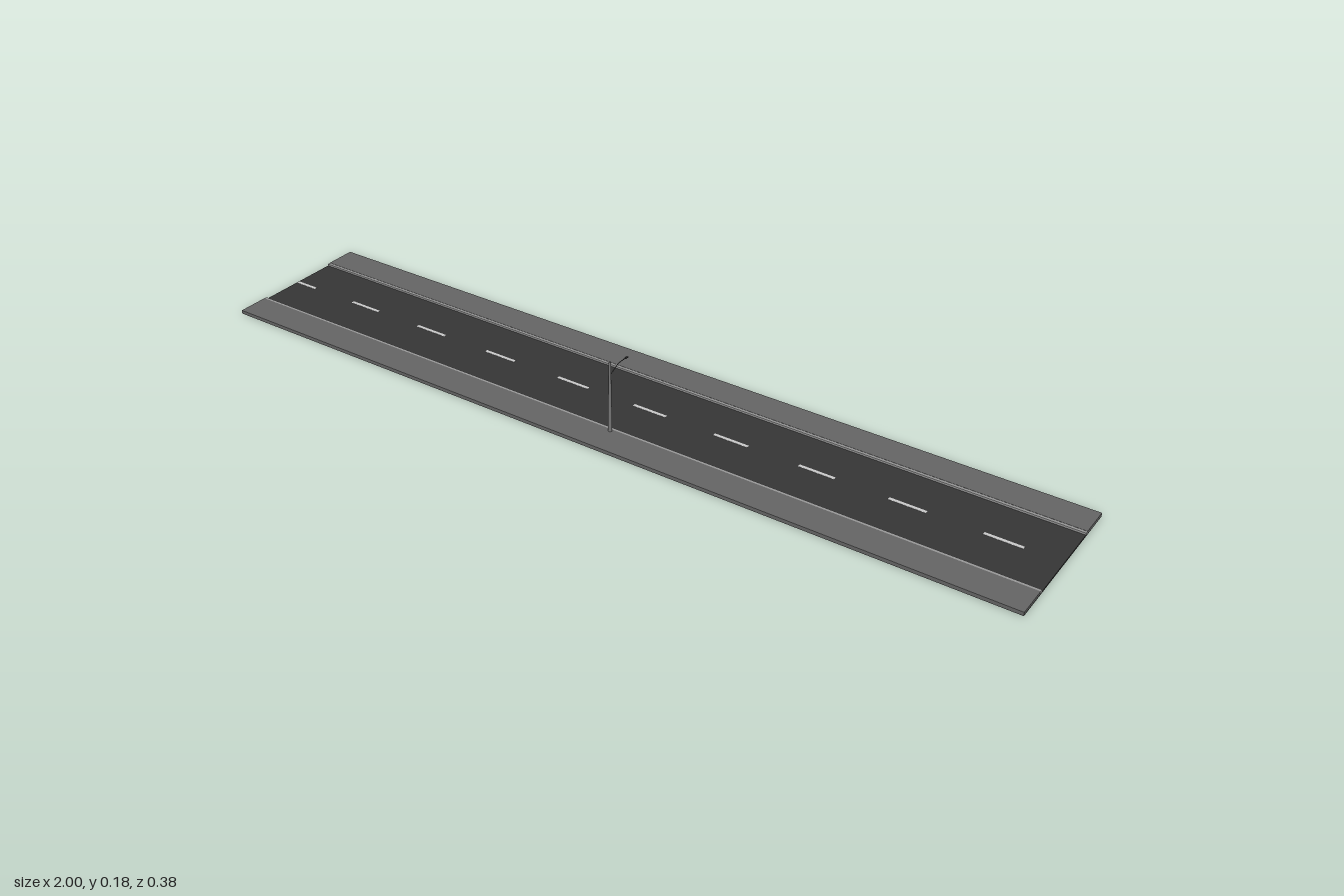
import * as THREE from 'three';

const LENGTH = 2;
const ROAD_TOP = 0.004;
const WALK_TOP = 0.009;

const material = (color) => new THREE.MeshStandardMaterial({ color });

export function createModel() {
  const model = new THREE.Group();
  model.name = 'streetSection';

  const asphalt = material(0x363636);
  const paving = material(0x666666);
  const kerbStone = material(0x999999);
  const paint = material(0xcccccc);
  const metal = material(0x777777);
  const darkMetal = material(0x333333);

  const add = (parent, name, geometry, mat, x = 0, y = 0, z = 0) => {
    const mesh = new THREE.Mesh(geometry, mat);
    mesh.name = name;
    mesh.position.set(x, y, z);
    parent.add(mesh);
    return mesh;
  };

  // Box given by its extents along x, y and z
  const slab = (name, mat, [x0, x1], [y0, y1], [z0, z1]) =>
    add(model, name, new THREE.BoxGeometry(x1 - x0, y1 - y0, z1 - z0), mat,
      (x0 + x1) / 2, (y0 + y1) / 2, (z0 + z1) / 2);

  const full = [-LENGTH / 2, LENGTH / 2];

  // Carriageway running under both pavements
  slab('road', asphalt, full, [0, ROAD_TOP], [-0.188, 0.188]);

  // Raised pavement and kerb on each side
  for (const [side, s] of [['front', 1], ['back', -1]]) {
    const span = (a, b) => (s > 0 ? [a, b] : [-b, -a]);
    slab(`${side}Sidewalk`, paving, full, [ROAD_TOP - 0.003, WALK_TOP], span(0.114, 0.1885));
    slab(`${side}Kerb`, kerbStone, full, [ROAD_TOP - 0.002, WALK_TOP - 0.0005], span(0.107, 0.114));
  }

  // Dashed centre line, the first dash cut off by the end of the road
  for (let i = 0; i < 10; i++) {
    const start = -1.024 + i * 0.2065;
    slab(`laneDash${i + 1}`, paint, [Math.max(start, -1), start + 0.084],
      [ROAD_TOP - 0.001, ROAD_TOP + 0.0004], [-0.004, 0.004]);
  }

  // Street lamp on the front pavement, reaching over the road
  const lamp = new THREE.Group();
  lamp.name = 'streetLamp';
  lamp.position.set(0.03, 0, 0.12);
  model.add(lamp);

  const poleHeight = 0.178 - WALK_TOP;
  add(lamp, 'lampPole', new THREE.CylinderGeometry(0.0027, 0.0045, poleHeight, 12), metal,
    0, WALK_TOP + poleHeight / 2, 0);

  // Bent arm: rises at an angle, then runs level
  const arm = new THREE.CurvePath();
  const points = [[0.145, 0], [0.16, -0.032], [0.16, -0.064]]
    .map(([y, z]) => new THREE.Vector3(0, y, z));
  arm.add(new THREE.LineCurve3(points[0], points[1]));
  arm.add(new THREE.LineCurve3(points[1], points[2]));
  add(lamp, 'lampArm', new THREE.TubeGeometry(arm, 24, 0.0009, 6), darkMetal);

  add(lamp, 'lampHead', new THREE.BoxGeometry(0.004, 0.0022, 0.009), darkMetal, 0, 0.1595, -0.0605);

  return model;
}
